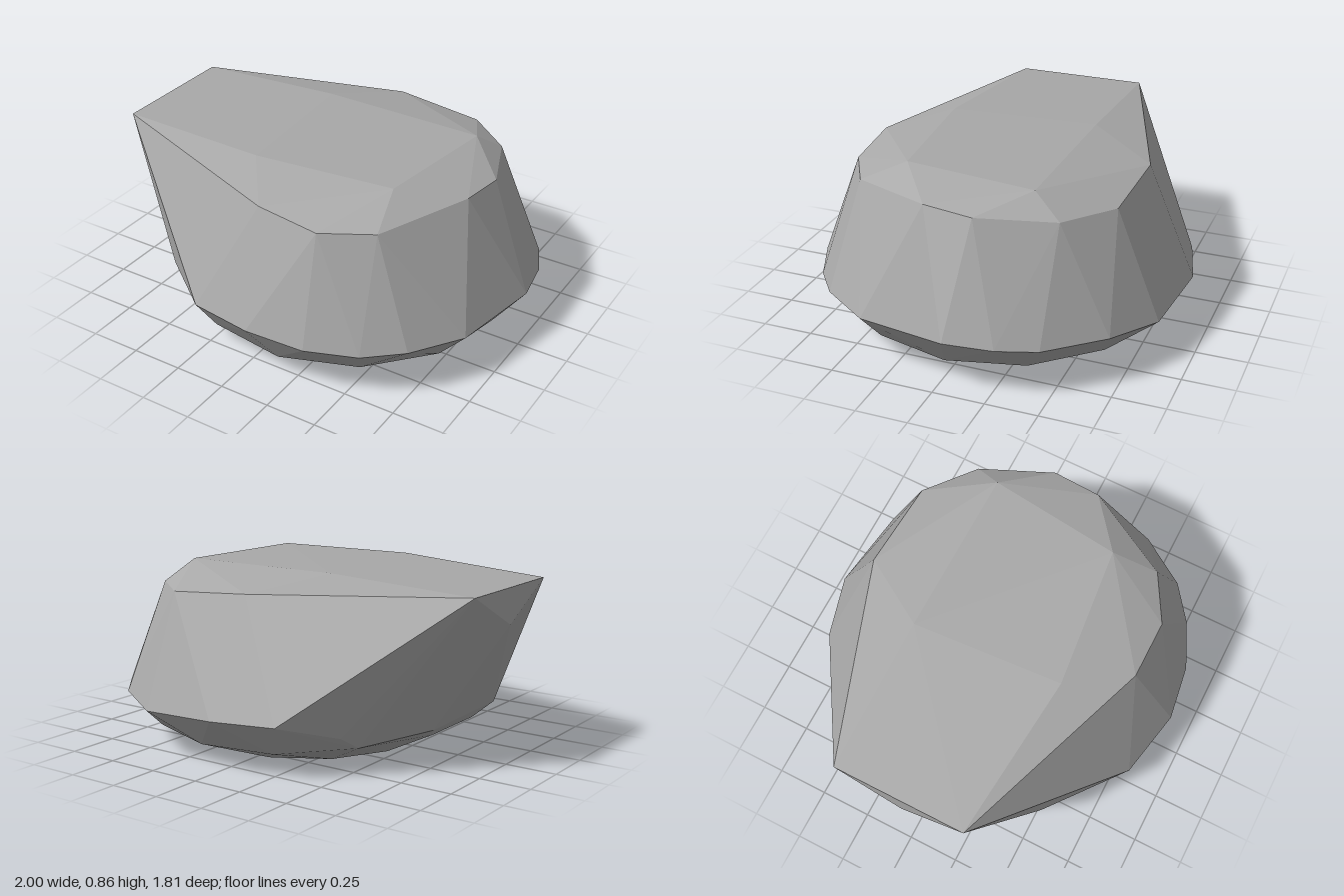
import * as THREE from 'three';
import { ConvexGeometry } from 'three/addons/geometries/ConvexGeometry.js';

const toPoints = (rows) => rows.map((p) => new THREE.Vector3(...p));

// Uneven oval ring; its height may follow x
function ovalRing(count, cx, rx, rz, phase, height) {
  return Array.from({ length: count }, (_, i) => {
    const a = ((i + phase) / count) * Math.PI * 2;
    const x = cx + rx * Math.cos(a);
    return new THREE.Vector3(x, height(x), rz * Math.sin(a));
  });
}

export function createModel() {
  const group = new THREE.Group();
  group.name = 'boulder';
  const stone = new THREE.MeshStandardMaterial({ color: 0xa8a8a8 });
  stone.name = 'grey stone';

  // Flat top and the overhanging ledge on the right
  const plateau = toPoints([
    [-1, 0.82, -0.33], [-1, 0.82, 0.32], [-1, 0.65, 0],
    [-0.25, 0.855, -0.33], [0.57, 0.85, -0.32],
    [0.49, 0.855, 0.33], [-0.2, 0.855, 0.4],
  ]);

  // Chamfered shoulder around the top
  const shoulder = toPoints([
    [0.01, 0.79, 0.68], [0.31, 0.75, 0.68], [0.54, 0.75, 0.55],
    [0.76, 0.79, 0.13], [0.78, 0.775, -0.11], [0.64, 0.75, -0.46],
    [0.41, 0.75, -0.65], [-0.03, 0.785, -0.67],
  ]);

  // Widest girdle
  const girdle = toPoints([
    [-0.26, 0.25, 0.83], [0.07, 0.275, 0.9], [0.35, 0.25, 0.86],
    [0.58, 0.24, 0.76], [0.75, 0.25, 0.63], [0.91, 0.245, 0.39],
    [1, 0.26, -0.05], [0.96, 0.25, -0.28], [0.88, 0.24, -0.46],
    [0.67, 0.245, -0.71], [0.41, 0.22, -0.86], [-0.01, 0.25, -0.91],
    [-0.31, 0.25, -0.83], [-0.5, 0.18, -0.6], [-0.76, 0.18, -0.25],
    [-0.76, 0.19, 0.32], [-0.62, 0.19, 0.53],
  ]);

  // Tapered underside and flat foot
  const underside = ovalRing(13, 0.06, 0.8, 0.78, 0,
    (x) => 0.085 + 0.05 * THREE.MathUtils.clamp((-x - 0.15) / 0.5, 0, 1));
  const foot = ovalRing(12, 0.09, 0.56, 0.56, 0.5, () => 0);

  const rock = new THREE.Mesh(
    new ConvexGeometry([...plateau, ...shoulder, ...girdle, ...underside, ...foot]), stone);
  rock.name = 'rock';
  group.add(rock);
  return group;
}
